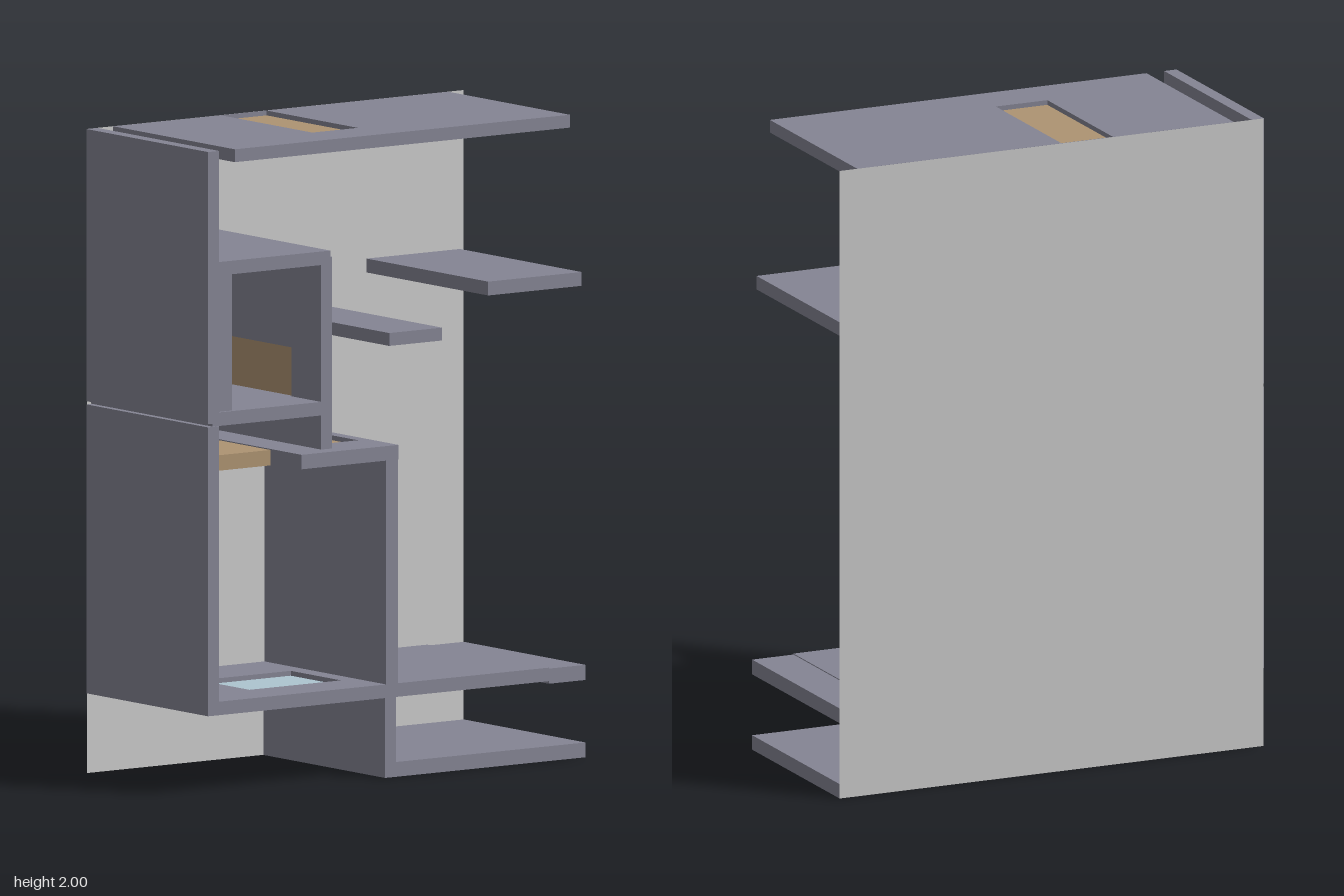
import * as THREE from 'three';

const BACK = -0.315, FRONT = 0.315;
const material = (color) => new THREE.MeshStandardMaterial({ color });

export function createModel() {
  const model = new THREE.Group();
  const board = material(0x858594), wood = material(0xae9472), glass = material(0xadc5d0);

  function add(name, geometry, mat) {
    const mesh = new THREE.Mesh(geometry, mat);
    mesh.name = name;
    model.add(mesh);
    return mesh;
  }

  // Box given by its limits
  function box(name, x0, x1, y0, y1, z0 = BACK, z1 = FRONT, mat = board) {
    const g = new THREE.BoxGeometry(x1 - x0, y1 - y0, z1 - z0);
    g.translate((x0 + x1) / 2, (y0 + y1) / 2, (z0 + z1) / 2);
    return add(name, g, mat);
  }

  // Horizontal board from a0 to a1 with a rectangular opening, thickness upward from 0
  function openBoard(a0, a1, thickness, h0, h1, z0, z1) {
    const rect = (path, p, q, r, s) =>
      path.moveTo(p, r).lineTo(q, r).lineTo(q, s).lineTo(p, s).closePath();
    const shape = new THREE.Shape();
    rect(shape, a0, a1, -FRONT, -BACK);
    const hole = new THREE.Path();
    rect(hole, h0, h1, -z1, -z0);
    shape.holes.push(hole);
    const g = new THREE.ExtrudeGeometry(shape, { depth: thickness, bevelEnabled: false });
    return g.rotateX(-Math.PI / 2);
  }

  // Floor with a recessed hatch panel
  function hatchFloor(name, x0, x1, y0, y1, h0, h1, z0, z1, mat) {
    add(name, openBoard(x0, x1, y1 - y0, h0, h1, z0, z1).translate(0, y0, 0), board);
    box(name + 'Hatch', h0, h1, y0 + 0.012, y1 - 0.015, z0, z1, mat);
  }

  // Back sheet
  const sheet = add('backPanel', new THREE.PlaneGeometry(1.44, 2), material(0xcccccc));
  sheet.material.side = THREE.DoubleSide;
  sheet.position.set(0, 1, BACK - 0.001);

  // Floors with hatches
  hatchFloor('roof', -0.62, 0.66, 1.96, 2, -0.21, -0.035, -0.313, 0.16, wood);
  hatchFloor('middleShelf', -0.365, 0.005, 0.985, 1.03, -0.21, -0.035, -0.313, 0.16, wood);
  hatchFloor('mainFloor', -0.68, 0.58, 0.248, 0.29, -0.45, -0.1, -0.1, 0.16, glass);
  box('mainFloorEnd', 0.58, 0.72, 0.24, 0.287);

  // Outer left wall in two lengths, with a narrow joint between them
  box('upperLeftWall', -0.722, -0.68, 1.155, 2);
  box('lowerLeftWall', -0.722, -0.68, 0.248, 1.145);

  // Upper chamber
  box('chamberLining', -0.68, -0.63, 1.19, 1.613);
  box('chamberCeiling', -0.68, -0.255, 1.613, 1.655);
  box('chamberFloor', -0.705, -0.262, 1.146, 1.188);
  const chamberWall = openBoard(1.04, 1.635, 0.042, 1.16, 1.34, -0.313, 0.16);
  add('chamberWall', chamberWall.rotateZ(Math.PI / 2).translate(-0.248, 0, 0), board);
  box('chamberDoor', -0.28, -0.265, 1.16, 1.34, -0.313, 0.16, wood);

  // Loose wooden step beside the middle shelf
  box('woodenStep', -0.59, -0.37, 0.98, 1.028, BACK, 0.16, wood);

  // Shelves on the right
  box('smallShelf', -0.03, 0.172, 1.34, 1.38);
  box('sideShelf', 0.348, 0.705, 1.465, 1.508);

  // Central walls and base
  box('centralWall', -0.042, 0.003, 0.29, 0.985);
  box('lowerWall', -0.046, -0.004, 0, 0.248);
  box('baseFloor', -0.004, 0.72, 0, 0.046);

  return model;
}
